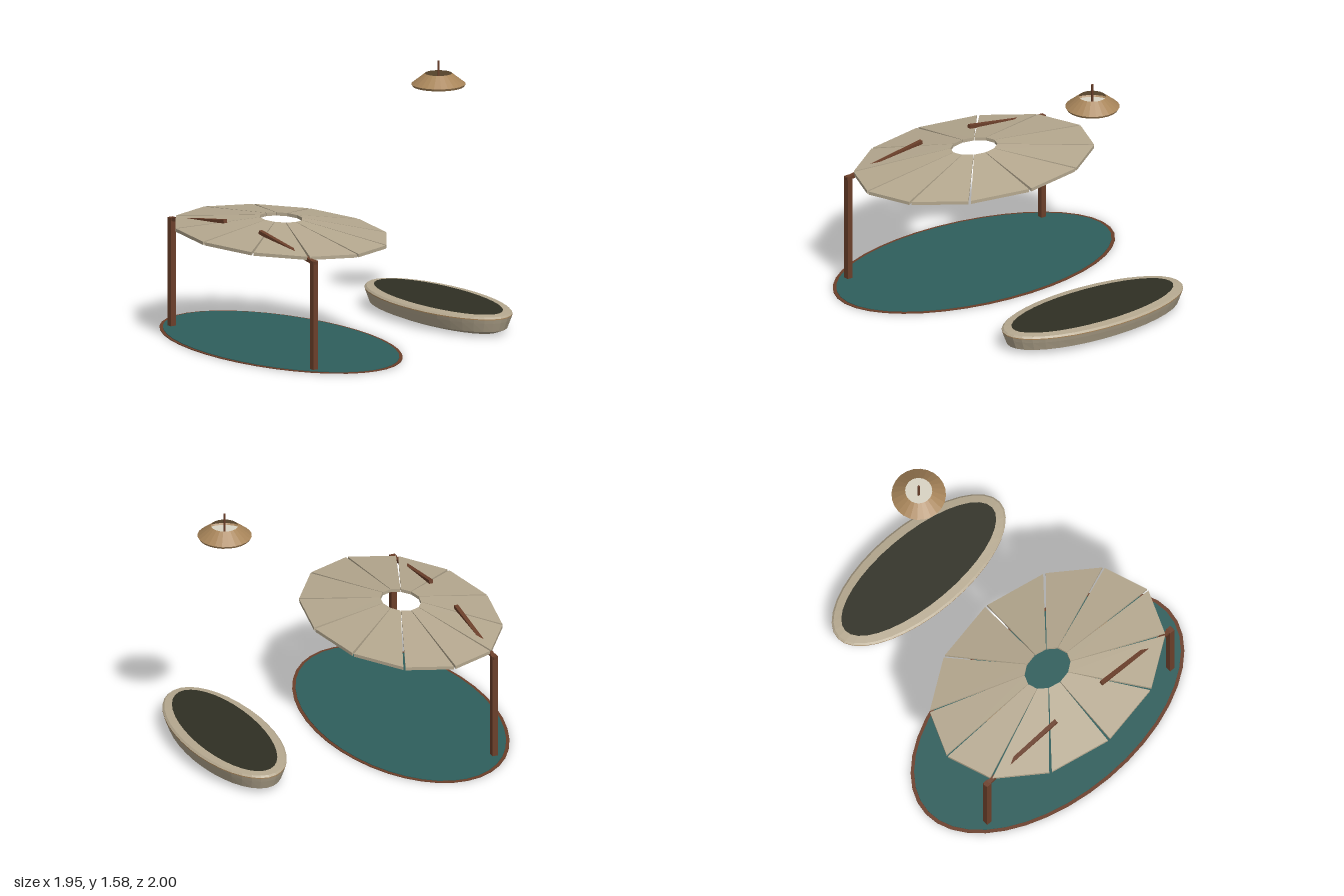
import * as THREE from 'three';

const mat = (name, color, side = THREE.FrontSide) => {
  const m = new THREE.MeshStandardMaterial({ color, side });
  m.name = name;
  return m;
};

// Faceted normals
function flat(geo) {
  const g = geo.index ? geo.toNonIndexed() : geo;
  g.computeVertexNormals();
  return g;
}

// Elliptical ring wall; profile entries are [outward offset, y]
function ovalWall(rx, rz, profile, segments) {
  const g = new THREE.LatheGeometry(profile.map(([o, y]) => new THREE.Vector2(1 + o, y)), segments);
  const p = g.attributes.position;
  for (let i = 0; i < p.count; i++) {
    const x = p.getX(i), z = p.getZ(i), r = Math.hypot(x, z), o = r - 1;
    p.setX(i, (x / r) * (rx + o));
    p.setZ(i, (z / r) * (rz + o));
  }
  return flat(g);
}

// Solid elliptical slab from y0 to y1
function ovalSlab(rx, rz, y0, y1, segments) {
  const g = new THREE.CylinderGeometry(1, 1, y1 - y0, segments);
  g.scale(rx, 1, rz);
  g.translate(0, (y0 + y1) / 2, 0);
  return flat(g);
}

// One wedge of the sloping canopy between angles a and b
function wedge(a, b) {
  const thick = 0.02;
  const at = (t, rx, rz, y) => [rx * Math.cos(t), y, -rz * Math.sin(t)];
  const top = [at(a, 0.153, 0.115, 0.765), at(a, 0.797, 0.56, 0.686), at(b, 0.797, 0.56, 0.686), at(b, 0.153, 0.115, 0.765)];
  const low = top.map(([x, y, z]) => [x, y - thick, z]);
  const v = [];
  const quad = (p, q, r, s) => v.push(...p, ...q, ...r, ...p, ...r, ...s);
  quad(...top);
  quad(low[3], low[2], low[1], low[0]);
  for (let i = 0; i < 4; i++) {
    const j = (i + 1) % 4;
    quad(top[j], top[i], low[i], low[j]);
  }
  const g = new THREE.BufferGeometry();
  g.setAttribute('position', new THREE.Float32BufferAttribute(v, 3));
  g.computeVertexNormals();
  return g;
}

export function createModel() {
  const stone = mat('stone', 0xb5a88f);
  const teal = mat('teal', 0x2e5e5c);
  const wood = mat('wood', 0x6b3f2a);
  const brass = mat('brass', 0xa8855a, THREE.DoubleSide);
  const cream = mat('cream', 0xd8d2c2);
  const soil = mat('dark olive', 0x2f2f23);

  const model = new THREE.Group();
  model.name = 'pavilion';
  const group = (name, z) => {
    const g = new THREE.Group();
    g.name = name;
    g.position.z = z;
    model.add(g);
    return g;
  };
  const add = (parent, name, geo, material, x = 0, y = 0, z = 0) => {
    const m = new THREE.Mesh(geo, material);
    m.name = name;
    m.position.set(x, y, z);
    parent.add(m);
    return m;
  };

  // Oval floor with a wooden border
  const floor = group('floor', 0.437);
  add(floor, 'floorBorder', ovalSlab(0.975, 0.56, 0, 0.004, 40), wood);
  add(floor, 'floorSurface', ovalSlab(0.953, 0.54, 0.003, 0.007, 40), teal);

  // Canopy of twelve wedges with narrow gaps
  const canopy = group('canopy', 0.437);
  const step = Math.PI / 6;
  for (let i = 0; i < 12; i++) {
    add(canopy, 'canopyPanel', wedge(i * step, (i + 1) * step - 0.022), stone);
  }

  // Posts, sloping beams and small lamps under the canopy, mirrored
  const supports = group('supports', 0.717);
  const rise = 0.09, run = 0.57;
  for (const s of [1, -1]) {
    add(supports, 'post', new THREE.BoxGeometry(0.034, 0.67, 0.036), wood, s * 0.732, 0.335, 0);
    const beam = add(supports, 'beam', new THREE.BoxGeometry(Math.hypot(run, rise), 0.022, 0.025), wood,
      s * 0.465, 0.7, 0);
    beam.rotation.z = -s * Math.atan2(rise, run);

    const lamp = new THREE.Group();
    lamp.name = 'canopyLamp';
    lamp.position.set(s * 0.405, 0.707, 0);
    lamp.rotation.z = -s * Math.atan2(0.079, 0.644);
    canopy.add(lamp);
    add(lamp, 'lampHousing', new THREE.BoxGeometry(0.15, 0.016, 0.09), brass);
    add(lamp, 'lampDiffuser', new THREE.BoxGeometry(0.125, 0.004, 0.066), cream, 0, -0.008, 0);
  }

  // Oval planter with a rounded wall
  const planter = group('planter', -0.717);
  add(planter, 'planterWall', ovalWall(0.65, 0.283,
    [[-0.085, 0.008], [-0.03, 0.03], [-0.008, 0.085], [0, 0.108]], 36), stone);
  add(planter, 'planterTrim', ovalWall(0.65, 0.283, [[0, 0.108], [0, 0.114]], 36), brass);
  add(planter, 'planterRim', ovalWall(0.65, 0.283, [[0, 0.114], [-0.012, 0.124], [-0.062, 0.13]], 36), stone);
  add(planter, 'planterBase', ovalSlab(0.565, 0.198, 0.008, 0.012, 36), stone);
  add(planter, 'planterSoil', ovalSlab(0.588, 0.221, 0.122, 0.13, 36), soil);

  // Hanging lamp with an open-topped shade
  const pendant = group('pendant', -0.717);
  const profile = [[0.155, 1.42], [0.163, 1.434], [0.081, 1.498]];
  add(pendant, 'shade', flat(new THREE.LatheGeometry(profile.map(([r, y]) => new THREE.Vector2(r, y)), 24)), brass);
  add(pendant, 'diffuser', ovalSlab(0.153, 0.153, 1.42, 1.426, 24), cream);
  add(pendant, 'rod', new THREE.CylinderGeometry(0.007, 0.007, 0.15, 8), wood, 0, 1.5, 0);

  return model;
}
